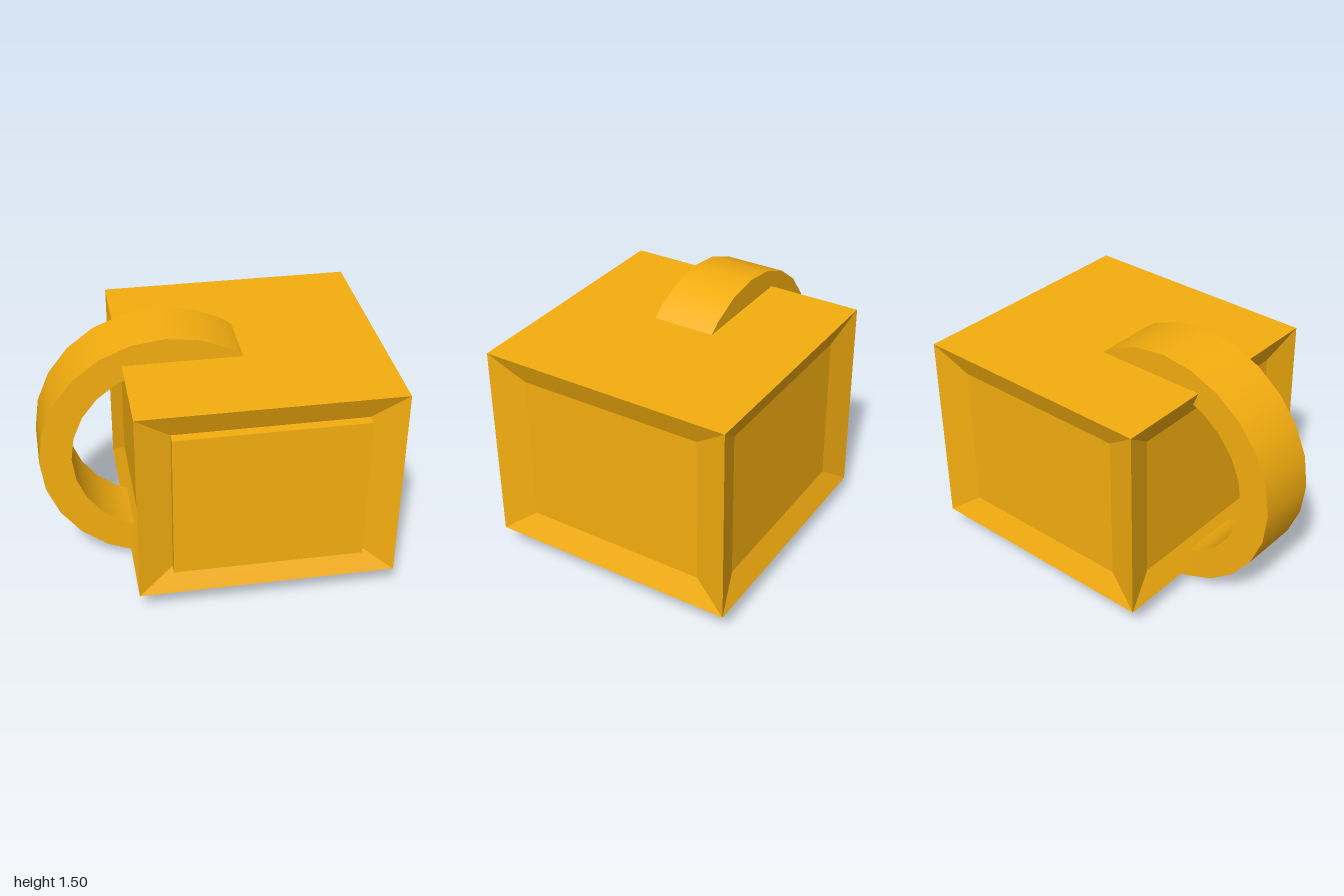
import * as THREE from 'three';
import { mergeGeometries } from 'three/addons/utils/BufferGeometryUtils.js';

const material = new THREE.MeshStandardMaterial({ color: 0xf5ae0f });
const SIZE = 1.5, HEIGHT = 1.2, DEPTH = 0.06;
const INNER_W = 1.1, INNER_H = 0.9;

function addMesh(parent, name, geometry) {
  const mesh = new THREE.Mesh(geometry, material);
  mesh.name = name;
  parent.add(mesh);
  return mesh;
}

// One wall facing +z: four sloping borders around a sunken flat floor
function recessedWall() {
  const rect = (w, h, z) => [[-1, -1], [1, -1], [1, 1], [-1, 1]].map(([x, y]) => [x * w / 2, y * h / 2, z]);
  const outer = rect(SIZE, HEIGHT, SIZE / 2);
  const inner = rect(INNER_W, INNER_H, SIZE / 2 - DEPTH);
  const positions = [];
  const quad = (a, b, c, d) => positions.push(...a, ...b, ...c, ...a, ...c, ...d);
  for (let i = 0; i < 4; i++) {
    const j = (i + 1) % 4;
    quad(outer[i], outer[j], inner[j], inner[i]);
  }
  quad(...inner);
  const geometry = new THREE.BufferGeometry();
  geometry.setAttribute('position', new THREE.Float32BufferAttribute(positions, 3));
  geometry.computeVertexNormals();
  return geometry;
}

// Square-section hoop, smooth around and sharp at its rims
function hoop(outerR, innerR, width) {
  const h = width / 2;
  const profile = [[outerR, -h], [outerR, h], [innerR, h], [innerR, -h]].map(p => new THREE.Vector2(...p));
  const bands = profile.map((p, i) => new THREE.LatheGeometry([p, profile[(i + 1) % 4]], 24));
  return mergeGeometries(bands).rotateX(Math.PI / 2);
}

export function createModel() {
  const model = new THREE.Group();
  model.name = 'block';

  // Body with four recessed walls and flat top and bottom
  const body = new THREE.Group();
  body.name = 'body';
  body.position.set(0.25, 0.75, 0);
  model.add(body);
  ['frontWall', 'leftWall', 'backWall', 'rightWall'].forEach((name, i) => {
    addMesh(body, name, recessedWall()).rotation.y = i * Math.PI / 2;
  });
  for (const [name, side] of [['top', 1], ['bottom', -1]]) {
    const cap = addMesh(body, name, new THREE.PlaneGeometry(SIZE, SIZE));
    cap.rotation.x = -side * Math.PI / 2;
    cap.position.y = side * HEIGHT / 2;
  }

  // Raised panel filling the front recess
  const panel = addMesh(body, 'frontPanel', new THREE.BoxGeometry(INNER_W, INNER_H, DEPTH));
  panel.position.z = SIZE / 2 - DEPTH / 2;

  // Ring handle passing through the body
  addMesh(model, 'ringHandle', hoop(0.75, 0.5625, 0.375)).position.set(-0.25, 0.75, 0);

  return model;
}
